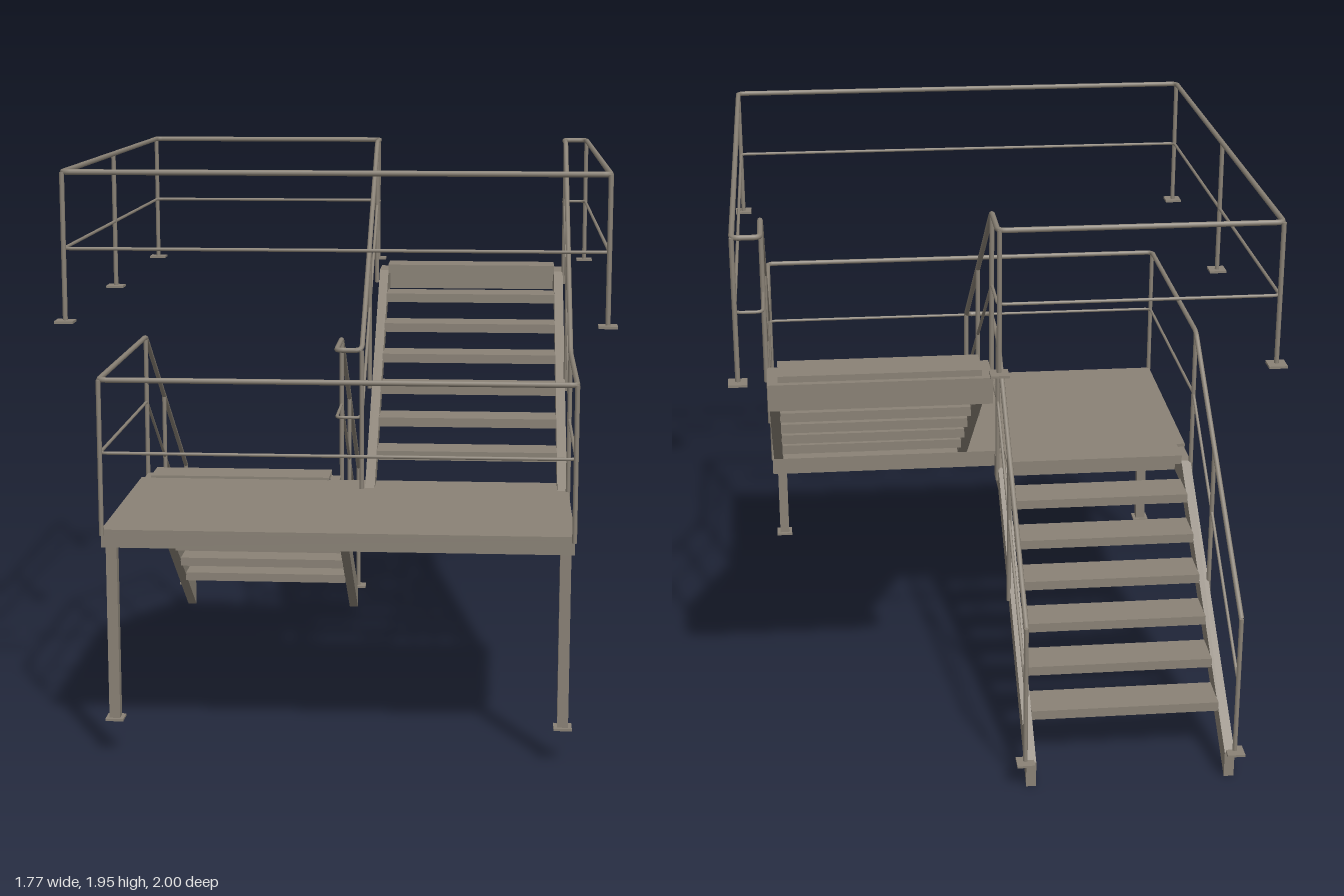
import * as THREE from 'three';
import { mergeGeometries } from 'three/addons/utils/BufferGeometryUtils.js';

const steel = new THREE.MeshStandardMaterial({ color: 0x8a8276 });
steel.name = 'weathered steel';

function add(parent, geometry, name, x = 0, y = 0, z = 0) {
  const mesh = new THREE.Mesh(geometry, steel);
  mesh.name = name;
  mesh.position.set(x, y, z);
  parent.add(mesh);
  return mesh;
}

const box = (parent, name, w, h, d, x, y, z) =>
  add(parent, new THREE.BoxGeometry(w, h, d), name, x, y, z);

// Side profile (run, height) extruded across the width; the run points to -z
function extrudeAcross(points, width) {
  const shape = new THREE.Shape(points.map(([s, y]) => new THREE.Vector2(s, y)));
  const geometry = new THREE.ExtrudeGeometry(shape, { depth: width, bevelEnabled: false });
  geometry.translate(0, 0, -width / 2);
  return geometry.rotateY(Math.PI / 2);
}

// Round bar through a list of points with softened corners
function barGeometry(points, radius, bend) {
  const p = points.map((a) => new THREE.Vector3(...a));
  const parts = [];
  let start = p[0];
  for (let i = 1; i < p.length; i++) {
    if (i === p.length - 1) {
      parts.push(new THREE.TubeGeometry(new THREE.LineCurve3(start, p[i]), 1, radius, 8));
      break;
    }
    const toward = (q) => p[i].clone().add(q.clone().sub(p[i]).setLength(bend));
    const a = toward(p[i - 1]);
    const b = toward(p[i + 1]);
    parts.push(new THREE.TubeGeometry(new THREE.LineCurve3(start, a), 1, radius, 8));
    parts.push(new THREE.TubeGeometry(new THREE.QuadraticBezierCurve3(a, p[i], b), 6, radius, 8));
    start = b;
  }
  return mergeGeometries(parts);
}

// One flight: two stringers and seven pan treads, climbing towards -z
function makeFlight(name, topRun) {
  const flight = new THREE.Group();
  flight.name = name;
  const profile = [[0, 0], [0.94, 0.68], [topRun, 0.68], [topRun, 0.768], [0.94, 0.768], [0, 0.092]];
  for (const side of [-1, 1]) {
    add(flight, extrudeAcross(profile, 0.034), 'stringer', side * 0.34);
  }
  const pan = [[0, 0], [0, -0.033], [0.008, -0.033], [0.008, -0.008],
    [0.132, -0.008], [0.132, -0.033], [0.14, -0.033], [0.14, 0]].reverse();
  for (let i = 0; i < 7; i++) {
    add(flight, extrudeAcross(pan, 0.648), 'tread', 0, 0.21 + i * 0.0965, -(0.136 + i * 0.134));
  }
  box(flight, 'topCrossBeam', 0.71, 0.088, 0.02, 0, 0.724, -topRun + 0.01);
  return flight;
}

export function createModel() {
  const model = new THREE.Group();
  model.name = 'staircase';

  // Flights
  const lower = makeFlight('lowerFlight', 1.08);
  lower.rotation.y = Math.PI;
  lower.position.set(-0.41, 0, -0.97);
  const upper = makeFlight('upperFlight', 1.1);
  upper.position.set(0.408, 0.68, 0.24);
  model.add(lower, upper);

  // Landing deck, its frame and legs
  const landing = new THREE.Group();
  landing.name = 'landing';
  model.add(landing);
  box(landing, 'deck', 1.54, 0.01, 0.8, 0, 0.775, 0.5);
  for (const z of [0.12, 0.88]) box(landing, 'frameBeam', 1.54, 0.05, 0.04, 0, 0.745, z);
  for (const side of [-1, 1]) {
    box(landing, 'frameBeam', 0.04, 0.05, 0.72, side * 0.75, 0.745, 0.5);
    box(landing, 'leg', 0.036, 0.6, 0.036, side * 0.742, 0.425, 0.858);
    box(landing, 'legFoot', 0.06, 0.008, 0.06, side * 0.742, 0.126, 0.858);
  }

  // Handrail and middle rail share one path from floor to floor and back
  const path = [
    [-0.768, 0.6, -0.965], [-0.768, 1.275, -0.03], [-0.768, 1.275, 0.9], [0.768, 1.275, 0.9],
    [0.768, 1.275, 0.24], [0.768, 1.945, -0.7], [0.768, 1.945, -0.89], [0.855, 1.945, -0.89],
    [0.855, 1.945, 0.965], [-0.855, 1.945, 0.965], [-0.855, 1.945, -0.89], [0.04, 1.945, -0.89],
    [0.04, 1.945, -0.7], [0.04, 1.275, 0.235], [-0.05, 1.275, 0.235], [-0.05, 1.275, -0.03],
    [-0.05, 0.6, -0.965],
  ];
  const rails = new THREE.Group();
  rails.name = 'railings';
  model.add(rails);
  add(rails, barGeometry(path, 0.009, 0.025), 'handrail');
  add(rails, barGeometry(path.map(([x, y, z]) => [x, y - 0.24, z]), 0.0055, 0.025), 'middleRail');

  // Posts: x, z, bottom, top, and whether they stand on a foot plate
  const posts = [
    [-0.768, 0.9, 0.76, 1.275], [0.768, 0.9, 0.76, 1.275],
    [0.855, 0.965, 1.47, 1.945, true], [-0.855, 0.965, 1.47, 1.945, true],
    [-0.855, 0.065, 1.47, 1.945, true], [-0.855, -0.89, 1.47, 1.945, true],
    [0.855, -0.89, 1.47, 1.945, true], [0.035, -0.89, 1.47, 1.945, true],
  ];
  for (const x of [-0.768, -0.05]) {
    posts.push([x, -0.965, 0.09, 0.6, true], [x, -0.43, 0.43, 0.985], [x, -0.03, 0.72, 1.275]);
  }
  for (const x of [0.04, 0.768]) {
    posts.push([x, 0.238, 0.72, 1.275], [x, -0.225, 1.06, 1.605], [x, -0.7, 1.4, 1.945]);
  }
  for (const [x, z, bottom, top, foot] of posts) {
    const height = top - bottom;
    add(rails, new THREE.CylinderGeometry(0.008, 0.008, height, 8), 'post', x, bottom + height / 2, z);
    if (foot) box(rails, 'postFoot', 0.06, 0.008, 0.06, x, bottom + 0.004, z - Math.sign(z) * -0.004);
  }
  return model;
}
